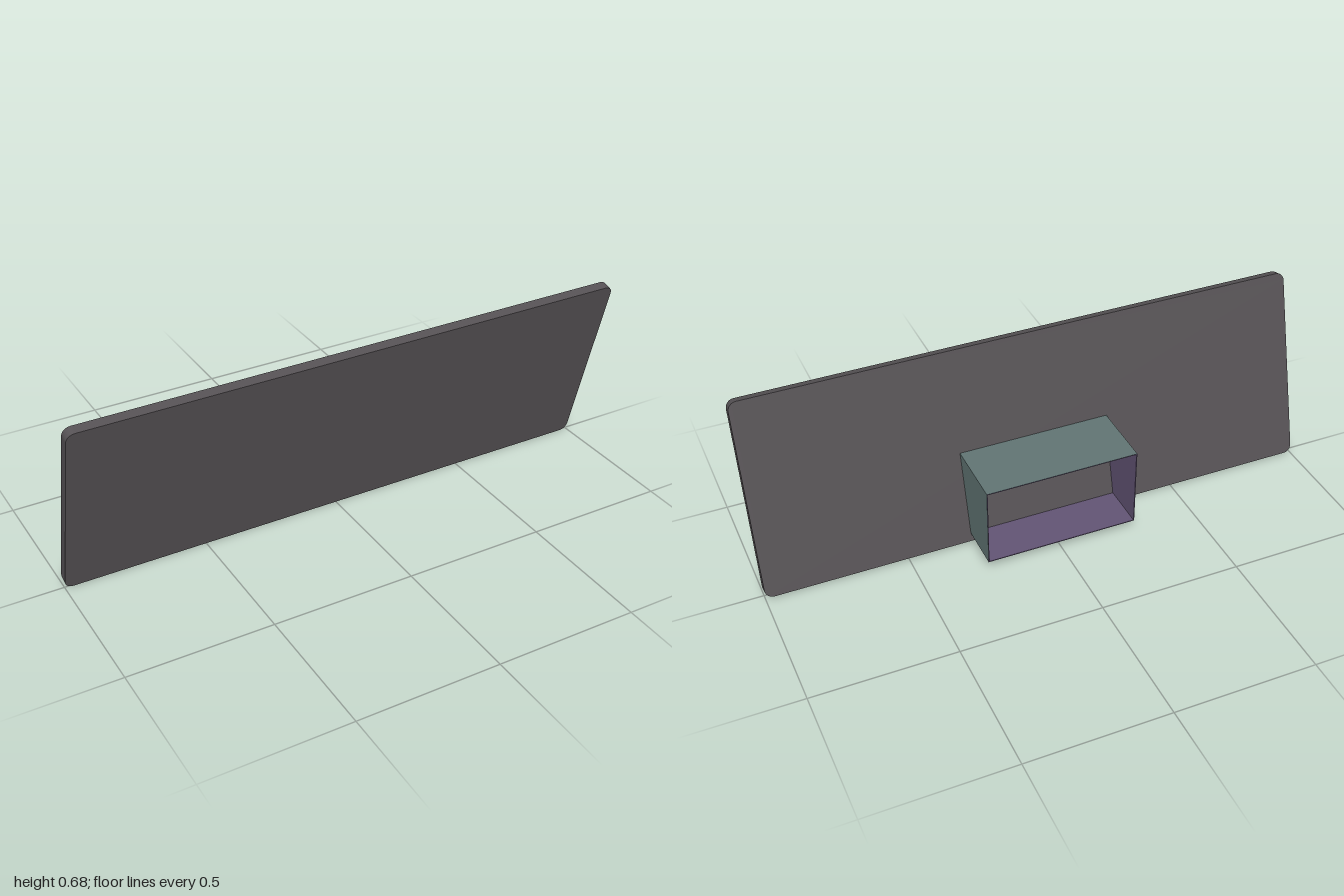
import * as THREE from 'three';

const W = 1, H = 0.694, T = 0.034, R = 0.03; // panel half width, height, thickness, corner radius
const TILT = THREE.MathUtils.degToRad(15);

function material(name, color) {
  const m = new THREE.MeshStandardMaterial({ color });
  m.name = name;
  return m;
}

// Rounded rectangular slab with its front lower edge on the origin
function panelGeometry() {
  const s = new THREE.Shape();
  s.moveTo(-W + R, 0);
  s.lineTo(W - R, 0);
  s.absarc(W - R, R, R, -Math.PI / 2, 0);
  s.lineTo(W, H - R);
  s.absarc(W - R, H - R, R, 0, Math.PI / 2);
  s.lineTo(-W + R, H);
  s.absarc(-W + R, H - R, R, Math.PI / 2, Math.PI);
  s.lineTo(-W, R);
  s.absarc(-W + R, R, R, Math.PI, Math.PI * 1.5);
  const g = new THREE.ExtrudeGeometry(s, { depth: T, bevelEnabled: false, curveSegments: 6 });
  return g.translate(0, 0, -T);
}

// Rectangular loop of the sleeve, inset by the wall; the front loop follows the panel tilt
function loop(inset, atFront) {
  const x = 0.272 - inset, y0 = 0.039 + inset, y1 = 0.33 - inset;
  return [[-x, y0], [x, y0], [x, y1], [-x, y1]].map(([px, py]) =>
    [px + 0.002, py, atFront ? -0.0325 + py * Math.tan(TILT) : -0.185]);
}

// Flat quads joining each loop to the next
function bandGeometry(loops) {
  const pos = [], index = [];
  for (let k = 0; k < loops.length - 1; k++) {
    for (let i = 0; i < 4; i++) {
      const j = (i + 1) % 4, n = pos.length / 3;
      pos.push(...loops[k][i], ...loops[k][j], ...loops[k + 1][j], ...loops[k + 1][i]);
      index.push(n, n + 1, n + 2, n, n + 2, n + 3);
    }
  }
  const g = new THREE.BufferGeometry();
  g.setAttribute('position', new THREE.Float32BufferAttribute(pos, 3));
  g.setIndex(index);
  g.computeVertexNormals();
  return g;
}

export function createModel() {
  const model = new THREE.Group();
  const add = (name, geometry, mat) => {
    const mesh = new THREE.Mesh(geometry, mat);
    mesh.name = name;
    model.add(mesh);
    return mesh;
  };

  // Leaning panel
  const panel = add('panel', panelGeometry(), material('dark grey', 0x555154));
  panel.rotation.x = TILT;
  panel.position.z = 0.006;

  // Open sleeve behind the panel: outer walls, then the lining with both thin rims
  const wall = 0.003;
  const outerBack = loop(0, false), outerFront = loop(0, true);
  const innerBack = loop(wall, false), innerFront = loop(wall, true);
  add('sleeveOutside', bandGeometry([outerBack, outerFront]), material('grey teal', 0x607473));
  add('sleeveLining', bandGeometry([outerFront, innerFront, innerBack, outerBack]),
    material('muted purple', 0x625474));
  return model;
}
